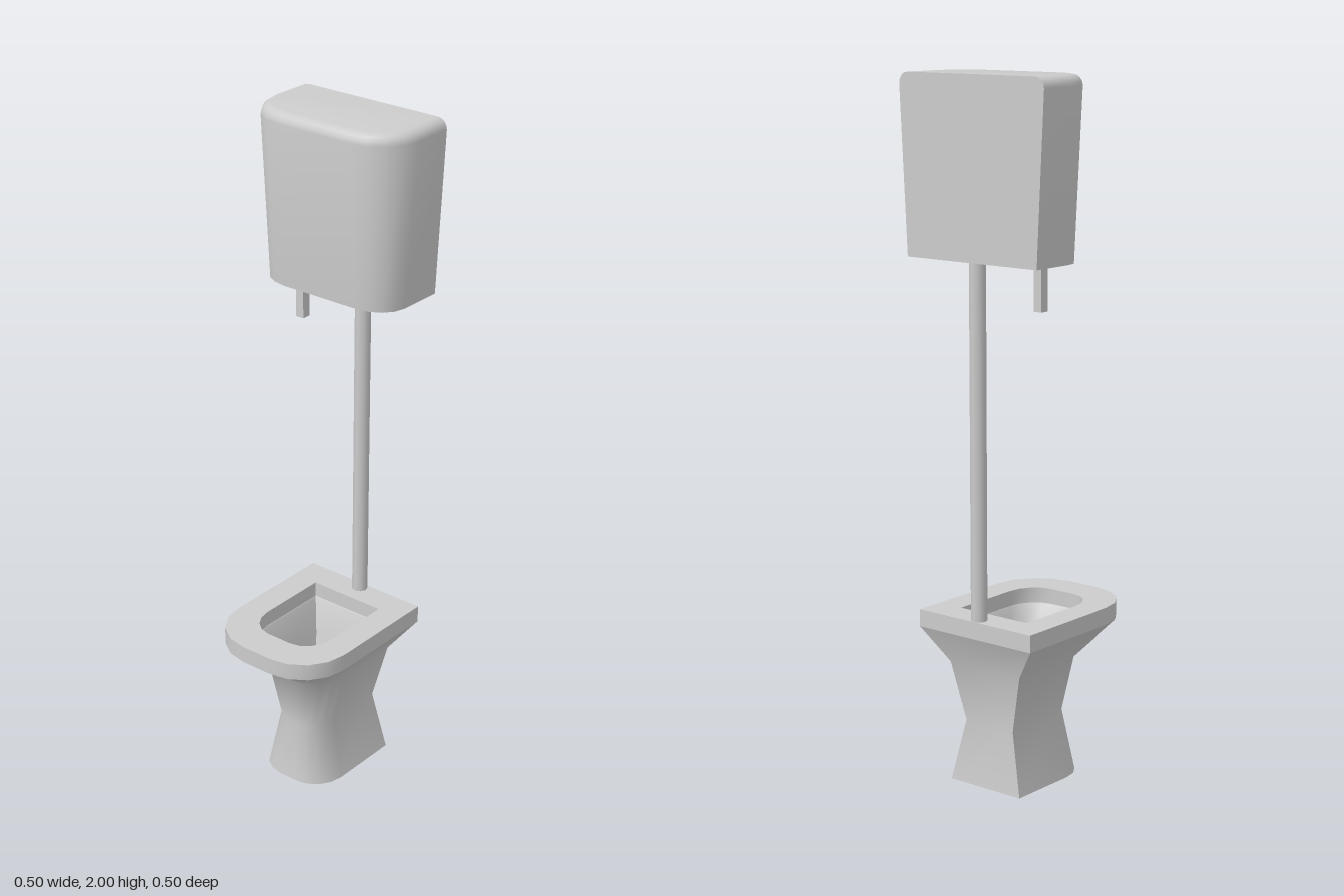
import * as THREE from 'three';
import { toCreasedNormals } from 'three/addons/utils/BufferGeometryUtils.js';

const material = new THREE.MeshStandardMaterial({ color: 0xcccccc, side: THREE.DoubleSide });
const CORNER_STEPS = 4;

// D-shaped ring at height y: square at the back, elliptical corners (rx, rz) at the front
function ring(y, w, back, front, rx, rz) {
  const pts = [[w, y, back]];
  for (const side of [1, -1]) {
    for (let i = 0; i <= CORNER_STEPS; i++) {
      const k = side > 0 ? i : CORNER_STEPS - i;
      const a = (k / CORNER_STEPS) * Math.PI / 2;
      pts.push([side * (w - rx + rx * Math.cos(a)), y, front - rz + rz * Math.sin(a)]);
    }
  }
  pts.push([-w, y, back]);
  return pts;
}

// Skin over successive rings, with optional flat ends
function loft(name, rings, crease, capStart, capEnd) {
  const n = rings[0].length, last = (rings.length - 1) * n, index = [];
  for (let j = 0; j < rings.length - 1; j++) {
    for (let i = 0; i < n; i++) {
      const a = j * n + i, b = j * n + (i + 1) % n;
      index.push(a, a + n, b, b, a + n, b + n);
    }
  }
  for (let i = 1; i < n - 1; i++) {
    if (capStart) index.push(0, i, i + 1);
    if (capEnd) index.push(last, last + i + 1, last + i);
  }
  const geo = new THREE.BufferGeometry();
  geo.setAttribute('position', new THREE.Float32BufferAttribute(rings.flat(2), 3));
  geo.setIndex(index);
  return part(name, toCreasedNormals(geo, crease));
}

function part(name, geometry, x = 0, y = 0, z = 0) {
  const mesh = new THREE.Mesh(geometry, material);
  mesh.name = name;
  mesh.position.set(x, y, z);
  return mesh;
}

export function createModel() {
  const model = new THREE.Group();
  model.name = 'highTankToilet';

  // Pedestal: flared foot, narrow waist, wide top
  model.add(loft('pedestal', [
    ring(0, 0.125, -0.2, 0.115, 0.095, 0.1),
    ring(0.18, 0.085, -0.18, 0.09, 0.065, 0.09),
    ring(0.35, 0.125, -0.2, 0.113, 0.095, 0.1),
    ring(0.45, 0.2, -0.245, 0.25, 0.15, 0.15),
  ], 0.9, true, false));

  // Flat rim with the opening cut through it
  const hole = ring(0.455, 0.12, -0.16, 0.15, 0.08, 0.09);
  model.add(loft('rim', [
    ring(0.45, 0.2, -0.245, 0.25, 0.15, 0.15),
    ring(0.5, 0.2, -0.245, 0.25, 0.15, 0.15),
    ring(0.5, 0.12, -0.16, 0.15, 0.08, 0.09),
    hole,
  ], 0.6, false, false));

  // Hollow of the bowl
  model.add(loft('bowl', [
    hole,
    ring(0.45, 0.117, -0.157, 0.145, 0.08, 0.09),
    ring(0.35, 0.092, -0.13, 0.095, 0.07, 0.08),
    ring(0.25, 0.07, -0.1, 0.063, 0.055, 0.065),
  ], 0.8, false, true));

  // Flush pipe between rim and tank
  model.add(part('flushPipe', new THREE.CylinderGeometry(0.023, 0.023, 1.02, 8), 0, 1, -0.222));

  // Tank: tapers downward, flat back, rounded upper edge
  const tankRings = [ring(1.5, 0.226, -0.25, -0.03, 0.1, 0.085)];
  const bevel = 0.03;
  for (let i = 0; i <= 4; i++) {
    const a = (i / 4) * Math.PI / 2, inset = bevel * (1 - Math.cos(a));
    tankRings.push(ring(2 - bevel + bevel * Math.sin(a), 0.25 - inset, -0.25, -0.002 - inset,
      0.13 - inset, 0.127 - inset));
  }
  model.add(loft('tank', tankRings, 0.7, true, true));

  // Pull rod under the tank
  model.add(part('pullRod', new THREE.BoxGeometry(0.027, 0.14, 0.027), -0.147, 1.44, -0.135));

  return model;
}
